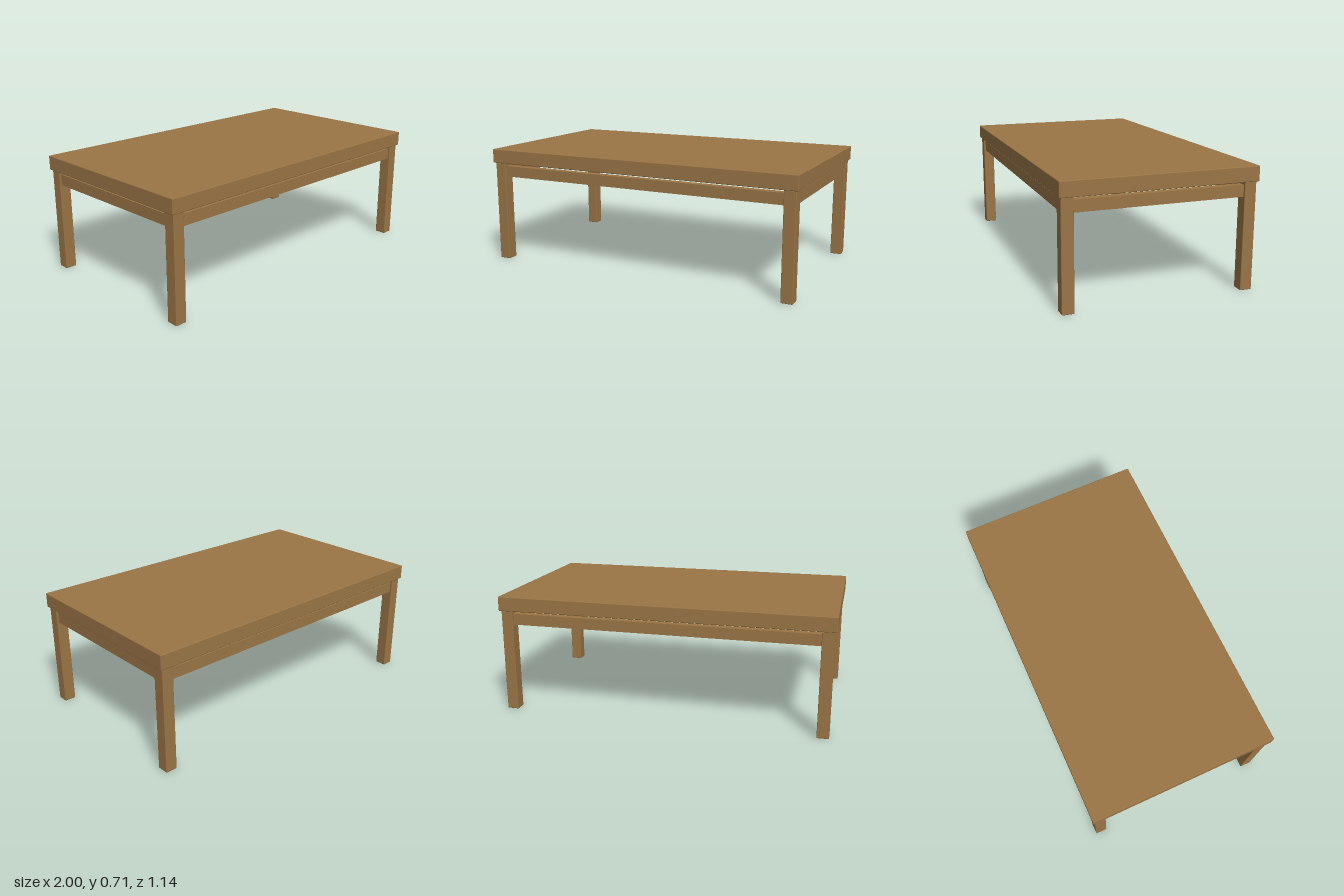
import * as THREE from 'three';
import { RoundedBoxGeometry } from 'three/addons/geometries/RoundedBoxGeometry.js';

export function createModel() {
  const table = new THREE.Group();
  table.name = 'table';
  const wood = new THREE.MeshStandardMaterial({ color: 0x9a7546 });
  wood.name = 'wood';

  const add = (name, geometry, x, y, z) => {
    const mesh = new THREE.Mesh(geometry, wood);
    mesh.name = name;
    mesh.position.set(x, y, z);
    table.add(mesh);
  };

  const topBottom = 0.626, topHeight = 0.088;
  const legX = 0.952, legZ = 0.524, legSize = 0.07;
  const railY = 0.574, railHeight = 0.067, railThickness = 0.045;

  // Thick slab with softened edges
  add('tableTop', new RoundedBoxGeometry(2, topHeight, 1.14, 2, 0.005), 0, topBottom + topHeight / 2, 0);

  // Four square legs
  const legGeometry = new RoundedBoxGeometry(legSize, topBottom, legSize, 2, 0.004);
  for (const [side, sx] of [['Left', 1], ['Right', -1]]) {
    for (const [end, sz] of [['front', 1], ['back', -1]]) {
      add(`${end}${side}Leg`, legGeometry, sx * legX, topBottom / 2, sz * legZ);
    }
  }

  // Rails between the legs, leaving a narrow gap below the top
  const longRail = new THREE.BoxGeometry(2 * legX - legSize, railHeight, railThickness);
  const shortRail = new THREE.BoxGeometry(railThickness, railHeight, 2 * legZ - legSize);
  add('frontRail', longRail, 0, railY, legZ);
  add('backRail', longRail, 0, railY, -legZ);
  add('leftRail', shortRail, legX, railY, 0);
  add('rightRail', shortRail, -legX, railY, 0);

  return table;
}
